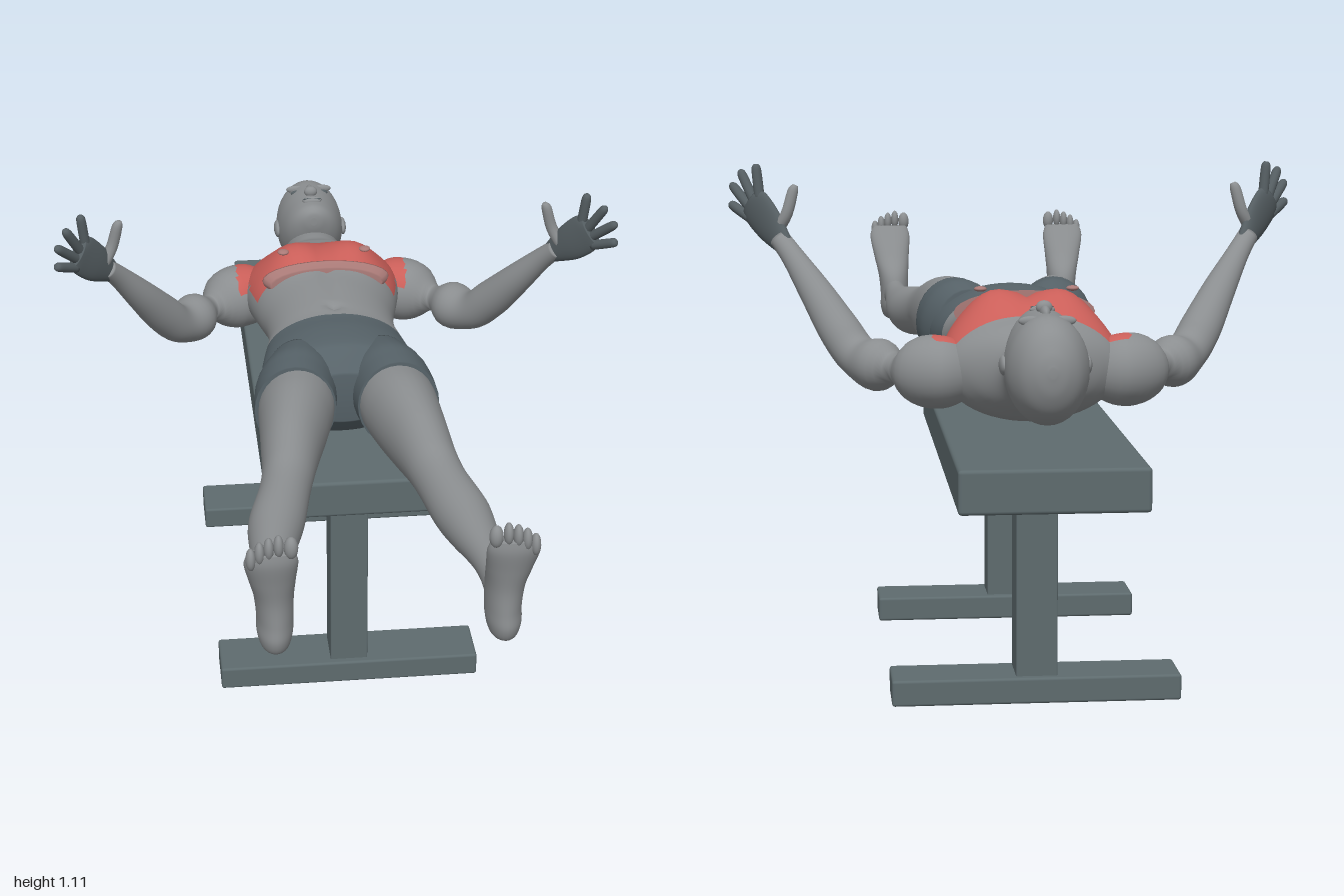
import * as THREE from 'three';
import { RoundedBoxGeometry } from 'three/addons/geometries/RoundedBoxGeometry.js';

const material = (name, color) => {
  const m = new THREE.MeshStandardMaterial({ color });
  m.name = name;
  return m;
};

// Turn all triangles of a closed geometry outward
function faceOutward(geo) {
  const p = geo.attributes.position, ix = geo.index.array;
  const a = new THREE.Vector3(), b = new THREE.Vector3(), c = new THREE.Vector3();
  geo.computeBoundingBox();
  const mid = geo.boundingBox.getCenter(new THREE.Vector3());
  let volume = 0;
  for (let i = 0; i < ix.length; i += 3) {
    a.fromBufferAttribute(p, ix[i]).sub(mid);
    b.fromBufferAttribute(p, ix[i + 1]).sub(mid);
    c.fromBufferAttribute(p, ix[i + 2]).sub(mid);
    volume += a.dot(b.cross(c));
  }
  if (volume < 0) for (let i = 0; i < ix.length; i += 3) [ix[i], ix[i + 2]] = [ix[i + 2], ix[i]];
  geo.computeVertexNormals();
  return geo;
}

// Smooth skin over elliptical rings: [centre xyz, half axis u xyz, half axis v xyz]
function loft(rings, { steps = 6, sides = 28, deform, paint } = {}) {
  const pos = [], buckets = [[], [], []];
  const rows = (rings.length - 1) * steps + 1;
  const at = (k) => rings[Math.min(rings.length - 1, Math.max(0, k))];
  const v = new THREE.Vector3();
  for (let r = 0; r < rows; r++) {
    const k = Math.min(Math.floor(r / steps), rings.length - 2), t = r / steps - k;
    const q = at(k).map((p1, n) => {
      const p0 = at(k - 1)[n], p2 = at(k + 1)[n], p3 = at(k + 2)[n];
      return p1 + 0.5 * t * (p2 - p0 + t * (2 * p0 - 5 * p1 + 4 * p2 - p3 + t * (3 * (p1 - p2) + p3 - p0)));
    });
    for (let i = 0; i < sides; i++) {
      const c = Math.cos((i / sides) * Math.PI * 2), s = Math.sin((i / sides) * Math.PI * 2);
      v.set(q[0] + c * q[3] + s * q[6], q[1] + c * q[4] + s * q[7], q[2] + c * q[5] + s * q[8]);
      if (deform) deform(v, s);
      pos.push(v.x, v.y, v.z);
    }
  }
  pos.push(...rings[0].slice(0, 3), ...at(rings.length).slice(0, 3));
  const add = (...tri) => {
    const m = [0, 1, 2].map((n) => tri.reduce((sum, j) => sum + pos[j * 3 + n], 0) / 3);
    buckets[paint ? paint(...m) : 0].push(...tri);
  };
  const last = (rows - 1) * sides;
  for (let i = 0; i < sides; i++) {
    const j = (i + 1) % sides;
    for (let r = 0; r < last; r += sides) {
      add(r + i, r + j, r + sides + j);
      add(r + i, r + sides + j, r + sides + i);
    }
    add(rows * sides, j, i);
    add(rows * sides + 1, last + i, last + j);
  }
  const geo = new THREE.BufferGeometry();
  geo.setAttribute('position', new THREE.Float32BufferAttribute(pos, 3));
  geo.setIndex(buckets.flat());
  if (paint) {
    let start = 0;
    buckets.forEach((b, n) => { geo.addGroup(start, b.length, n); start += b.length; });
  }
  return faceOutward(geo);
}

// Rings across z from [z, centre x, half width, top y, bottom y]
const bodyRings = (rows) => rows.map(([z, x, w, top, bot]) => [x, (top + bot) / 2, z, w, 0, 0, 0, (top - bot) / 2, 0]);

// Round rings along a path of [x, y, z, radius]
const limbRings = (pts) => pts.map(([x, y, z, r], i) => {
  const a = pts[Math.max(0, i - 1)], b = pts[Math.min(pts.length - 1, i + 1)];
  const t = new THREE.Vector3(b[0] - a[0], b[1] - a[1], b[2] - a[2]).normalize();
  const u = new THREE.Vector3(0.66, 0, 0.75).cross(t).normalize();
  const w = t.clone().cross(u);
  return [x, y, z, ...u.multiplyScalar(r).toArray(), ...w.multiplyScalar(r).toArray()];
});

const ball = (x, y, z, a, b, c) => new THREE.SphereGeometry(1, 16, 12).scale(a, b, c).translate(x, y, z);

export function createModel() {
  const model = new THREE.Group();
  const skin = material('grey skin', 0x8b8e90), cloth = material('dark shorts', 0x566268);
  const benchMat = material('bench slate', 0x5e6b6e), red = material('chest red', 0xcb5f59);
  const blush = material('faded red', 0xa97a77), dark = material('dark hands', 0x555e62);

  const put = (name, geo, mat) => {
    const mesh = new THREE.Mesh(geo, mat);
    mesh.name = name;
    model.add(mesh);
  };
  const pair = (name, geo, mat) => {
    put(name + 'Left', geo, mat);
    put(name + 'Right', faceOutward(geo.clone().scale(-1, 1, 1)), mat);
  };
  const box = (name, w, y0, y1, z0, z1, r) => put(name,
    new RoundedBoxGeometry(w, y1 - y0, z1 - z0, 2, r).translate(0, (y0 + y1) / 2, (z0 + z1) / 2), benchMat);

  // Bench
  box('benchPad', 0.38, 0.475, 0.565, -1, 0.21, 0.008);
  for (const [end, z] of [['front', 0.128], ['back', -0.605]]) {
    box(end + 'Post', 0.088, 0.04, 0.49, z - 0.048, z + 0.048, 0.003);
    box(end + 'Foot', 0.614, 0, 0.056, z - 0.065, z + 0.065, 0.006);
  }

  // Torso, hips and neck, with raised chest muscles
  const bump = (d, w) => Math.exp(-((d / w) ** 2));
  const torso = bodyRings([
    [0.075, 0, 0.11, 0.77, 0.65], [0.03, 0, 0.175, 0.81, 0.602], [0, 0, 0.186, 0.822, 0.592],
    [-0.07, 0, 0.18, 0.825, 0.595], [-0.14, 0, 0.166, 0.82, 0.615], [-0.2, 0, 0.153, 0.825, 0.622],
    [-0.28, 0, 0.155, 0.83, 0.612], [-0.36, 0, 0.17, 0.832, 0.6], [-0.43, 0, 0.184, 0.836, 0.59],
    [-0.5, 0, 0.194, 0.83, 0.578], [-0.56, 0, 0.185, 0.81, 0.59], [-0.6, 0, 0.145, 0.8, 0.61],
    [-0.64, 0, 0.085, 0.785, 0.632], [-0.68, 0, 0.07, 0.78, 0.642], [-0.76, 0, 0.066, 0.77, 0.65]]);
  put('torso', loft(torso, {
    sides: 56,
    deform: (v, s) => {
      if (s <= 0) return;
      const x = Math.abs(v.x);
      v.y += s * (0.034 * bump(x - 0.09, 0.07) * bump(v.z + 0.45, 0.075)
        - 0.008 * bump(x, 0.012) * bump(v.z + 0.36, 0.16)
        - 0.012 * bump(x, 0.012) * bump(v.z + 0.18, 0.012));
    },
    paint: (x, y, z) => (z > -0.14 ? 1 : y > 0.745 && z < -0.375 && z > -0.56 ? 2 : 0),
  }), [skin, cloth, red]);
  pair('nipple', ball(0.1, 0.854, -0.42, 0.014, 0.006, 0.014), blush);
  // Faded lower edge of the chest colour, following the torso surface
  put('chestFade', loft(bodyRings([[-0.378, 0, 0.155, 0.846, 0.75], [-0.368, 0, 0.15, 0.842, 0.75],
    [-0.35, 0, 0.135, 0.837, 0.75]]), { steps: 3 }), blush);

  // Head and face
  put('head', loft(bodyRings([
    [-0.948, 0, 0.008, 0.755, 0.735], [-0.94, 0, 0.034, 0.785, 0.695], [-0.915, 0, 0.062, 0.823, 0.655],
    [-0.87, 0, 0.081, 0.845, 0.63], [-0.82, 0, 0.085, 0.848, 0.626], [-0.77, 0, 0.08, 0.848, 0.645],
    [-0.73, 0, 0.068, 0.848, 0.69], [-0.705, 0, 0.05, 0.846, 0.735], [-0.69, 0, 0.026, 0.835, 0.78],
    [-0.686, 0, 0.008, 0.82, 0.8]]), { sides: 36 }), skin);
  put('noseBridge', ball(0, 0.845, -0.797, 0.011, 0.016, 0.03), skin);
  put('noseTip', ball(0, 0.855, -0.777, 0.017, 0.014, 0.012), skin);
  put('upperLip', ball(0, 0.846, -0.743, 0.026, 0.009, 0.006), skin);
  put('lowerLip', ball(0, 0.846, -0.733, 0.022, 0.009, 0.006), skin);
  put('mouthLine', ball(0, 0.851, -0.738, 0.024, 0.003, 0.002), dark);
  pair('brow', ball(0.034, 0.835, -0.84, 0.024, 0.01, 0.007), skin);
  pair('eye', ball(0.034, 0.832, -0.82, 0.014, 0.008, 0.006), dark);
  pair('ear', ball(0.085, 0.742, -0.805, 0.009, 0.02, 0.032).rotateX(0), skin);

  // Legs
  const leg = [
    [-0.02, 0.1, 0.08, 0.805, 0.615], [0.12, 0.115, 0.087, 0.816, 0.617], [0.2, 0.126, 0.08, 0.818, 0.616],
    [0.3, 0.142, 0.068, 0.805, 0.624], [0.4, 0.157, 0.058, 0.782, 0.642], [0.47, 0.172, 0.056, 0.765, 0.64],
    [0.57, 0.196, 0.06, 0.754, 0.631], [0.65, 0.209, 0.052, 0.745, 0.64], [0.75, 0.221, 0.037, 0.736, 0.66],
    [0.83, 0.226, 0.03, 0.735, 0.668], [0.91, 0.228, 0.03, 0.742, 0.655]];
  pair('leg', loft(bodyRings(leg)), skin);
  pair('shortsLeg', loft(bodyRings([
    [-0.04, 0.095, 0.08, 0.81, 0.605], [0.03, 0.107, 0.094, 0.825, 0.6],
    [0.08, 0.114, 0.095, 0.825, 0.604], [0.127, 0.118, 0.093, 0.823, 0.609]])), cloth);

  // Feet from [y, centre x, half width, back z, front z], then toes
  const foot = [
    [0.628, 0.229, 0.012, 0.915, 0.955], [0.638, 0.229, 0.028, 0.885, 0.975], [0.665, 0.229, 0.036, 0.865, 0.985],
    [0.7, 0.228, 0.037, 0.86, 0.982], [0.75, 0.23, 0.04, 0.872, 0.98], [0.8, 0.234, 0.047, 0.908, 0.987],
    [0.85, 0.237, 0.053, 0.943, 0.996], [0.878, 0.237, 0.045, 0.962, 0.994]];
  pair('foot', loft(foot.map(([y, x, w, z0, z1]) => [x, y, (z0 + z1) / 2, w, 0, 0, 0, 0, (z1 - z0) / 2])), skin);
  [[0.199, 0.889, 0.014], [0.223, 0.894, 0.01], [0.242, 0.889, 0.01], [0.26, 0.88, 0.01], [0.277, 0.867, 0.01]]
    .forEach(([x, y, r], i) => pair('toe' + (i + 1), ball(x, y, 0.984, r, 0.024, 0.015), skin));

  // Arms, with the chest colour running onto the shoulder
  pair('arm', loft(limbRings([
    [0.12, 0.69, -0.515, 0.05], [0.185, 0.69, -0.53, 0.077], [0.25, 0.69, -0.495, 0.065],
    [0.31, 0.69, -0.43, 0.054], [0.36, 0.702, -0.362, 0.047], [0.4, 0.752, -0.318, 0.046],
    [0.45, 0.83, -0.262, 0.037], [0.5, 0.905, -0.212, 0.026], [0.53, 0.945, -0.18, 0.023]]), {
    paint: (x, y, z) => (x < 0.21 && y > 0.73 && z > -0.56 ? 2 : 0),
  }), [skin, cloth, red]);

  // Hands: flat palm, four fingers and a thumb
  const palm = [[0.515, 0.925, -0.197, 0.022], [0.55, 0.97, -0.152, 0.042], [0.58, 1.008, -0.12, 0.046], [0.592, 1.022, -0.108, 0.036]];
  pair('palm', loft(palm.map(([x, y, z, w]) => [x, y, z, 0.43 * w, -0.76 * w, 0.49 * w, 0.0115, 0, -0.01])), dark);
  const finger = (name, pts, r, mat) => pair(name, loft(limbRings(
    pts.map((p, i) => [...p, r * [1, 1, 0.9, 0.45][i]])), { steps: 4, sides: 12 }), mat);
  [[0.575, 1.04, 0.582, 1.108], [0.587, 1.025, 0.618, 1.092], [0.597, 1.01, 0.639, 1.06], [0.603, 0.99, 0.642, 1.015]]
    .forEach(([x0, y0, x1, y1], i) => {
      const along = (t) => {
        const x = x0 + (x1 - x0) * t;
        return [x, y0 + (y1 - y0) * t, -0.11 + (x - 0.59) * 1.14];
      };
      finger('finger' + (i + 1), [-0.15, 0.5, 0.88, 1].map(along), 0.0115, dark);
    });
  finger('thumb', [[0.54, 0.955, -0.165], [0.515, 0.998, -0.18], [0.5, 1.05, -0.178], [0.494, 1.064, -0.176]], 0.0135, skin);

  return model;
}
